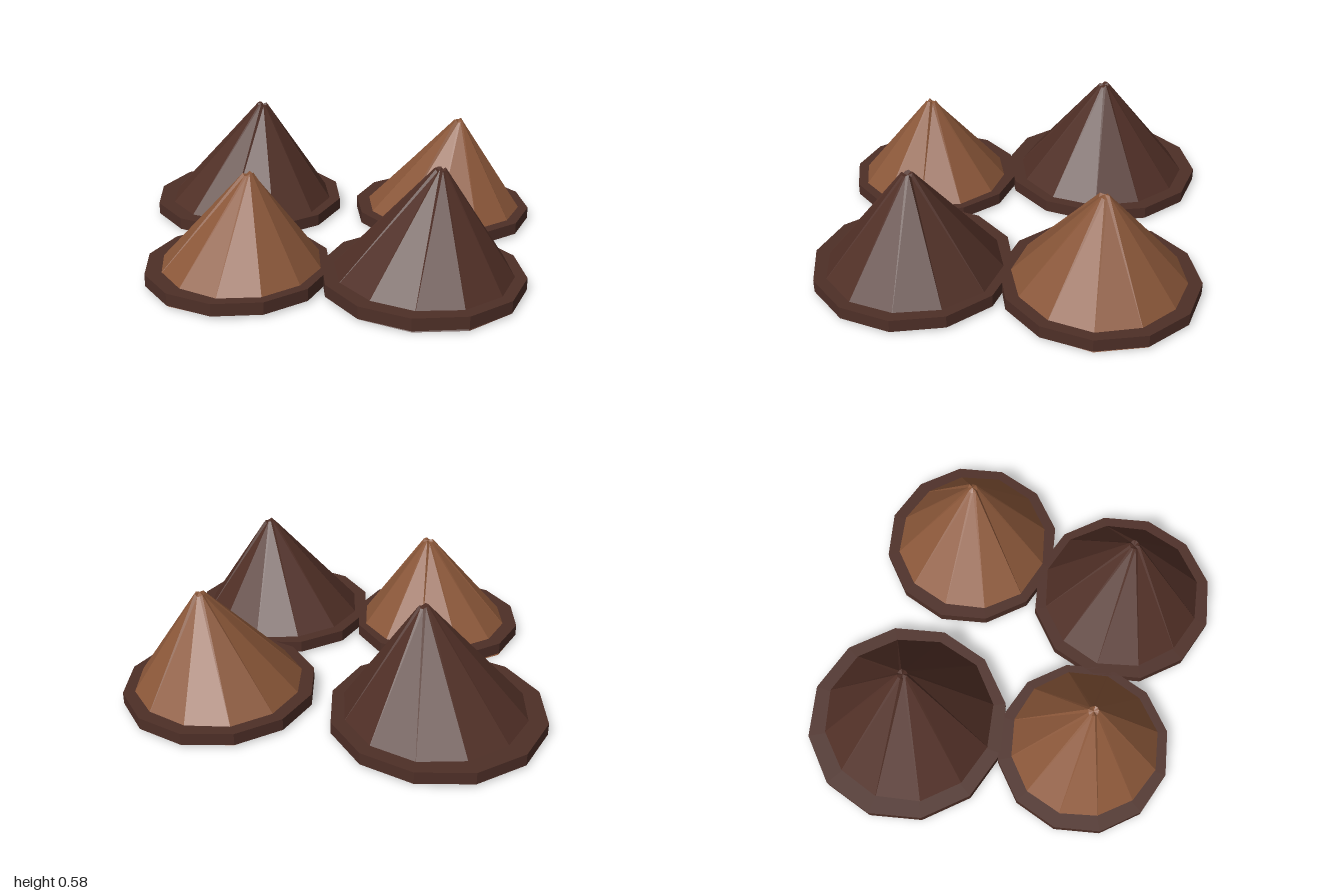
import * as THREE from 'three';

const SIDES = 12;
const DISC_BOTTOM = 0.012, DISC_TOP = 0.07;

// x, z, disc radius, cone base radius, tip height, tip position, tilt of the cone's underside
const MOUNDS = [
  { x: -0.5, z: -0.4, r: 0.5, base: 0.475, top: 0.575, tip: [-0.42, -0.4], tilt: [0.012, 0.006], tone: 'dark' },
  { x: 0.54, z: -0.455, r: 0.455, base: 0.445, top: 0.525, tip: [0.61, -0.46], tilt: [-0.006, 0.006], tone: 'light' },
  { x: -0.32, z: 0.47, r: 0.43, base: 0.42, top: 0.5, tip: [-0.26, 0.47], tilt: [0.015, 0], tone: 'light' },
  { x: 0.52, z: 0.4, r: 0.465, base: 0.455, top: 0.55, tip: [0.58, 0.39], tilt: [0, -0.01], tone: 'dark' },
];

// Faceted cone leaning toward its tip, with a tilted underside and a rough tip
function leaningCone(m, seed) {
  const geo = new THREE.CylinderGeometry(0.024, m.base, 1, SIDES, 1);
  const p = geo.attributes.position;
  for (let i = 0; i < p.count; i++) {
    const x = p.getX(i), z = p.getZ(i);
    if (p.getY(i) > 0) {
      const rough = 0.008 * Math.sin(x * 170 + z * 110 + seed);
      p.setXYZ(i, x + m.tip[0] - m.x, m.top + rough, z + m.tip[1] - m.z);
    } else {
      const a = Math.atan2(z, x);
      const k = 1 + 0.012 * Math.sin(3 * a + seed);
      const low = 0.01 + (m.tilt[0] * x + m.tilt[1] * z) / m.base;
      p.setXYZ(i, x * k, Math.max(0, low), z * k);
    }
  }
  geo.computeVertexNormals();
  return geo;
}

export function createModel() {
  const material = (name, color) => {
    const mat = new THREE.MeshStandardMaterial({ color, flatShading: true });
    mat.name = name;
    return mat;
  };
  const discBrown = material('disc brown', 0x4e2f27);
  const tones = {
    dark: material('dark brown', 0x502f26),
    light: material('light brown', 0x8b5739),
  };

  const model = new THREE.Group();
  model.name = 'mounds';
  MOUNDS.forEach((m, i) => {
    const mound = new THREE.Group();
    mound.name = `mound${i + 1}`;
    mound.position.set(m.x, 0, m.z);

    // Flat twelve-sided foot
    const disc = new THREE.Mesh(
      new THREE.CylinderGeometry(m.r, m.r, DISC_TOP - DISC_BOTTOM, SIDES), discBrown);
    disc.name = 'baseDisc';
    disc.position.y = (DISC_TOP + DISC_BOTTOM) / 2;

    // Heap on top
    const cone = new THREE.Mesh(leaningCone(m, i * 1.7), tones[m.tone]);
    cone.name = 'cone';

    mound.add(disc, cone);
    model.add(mound);
  });
  return model;
}
